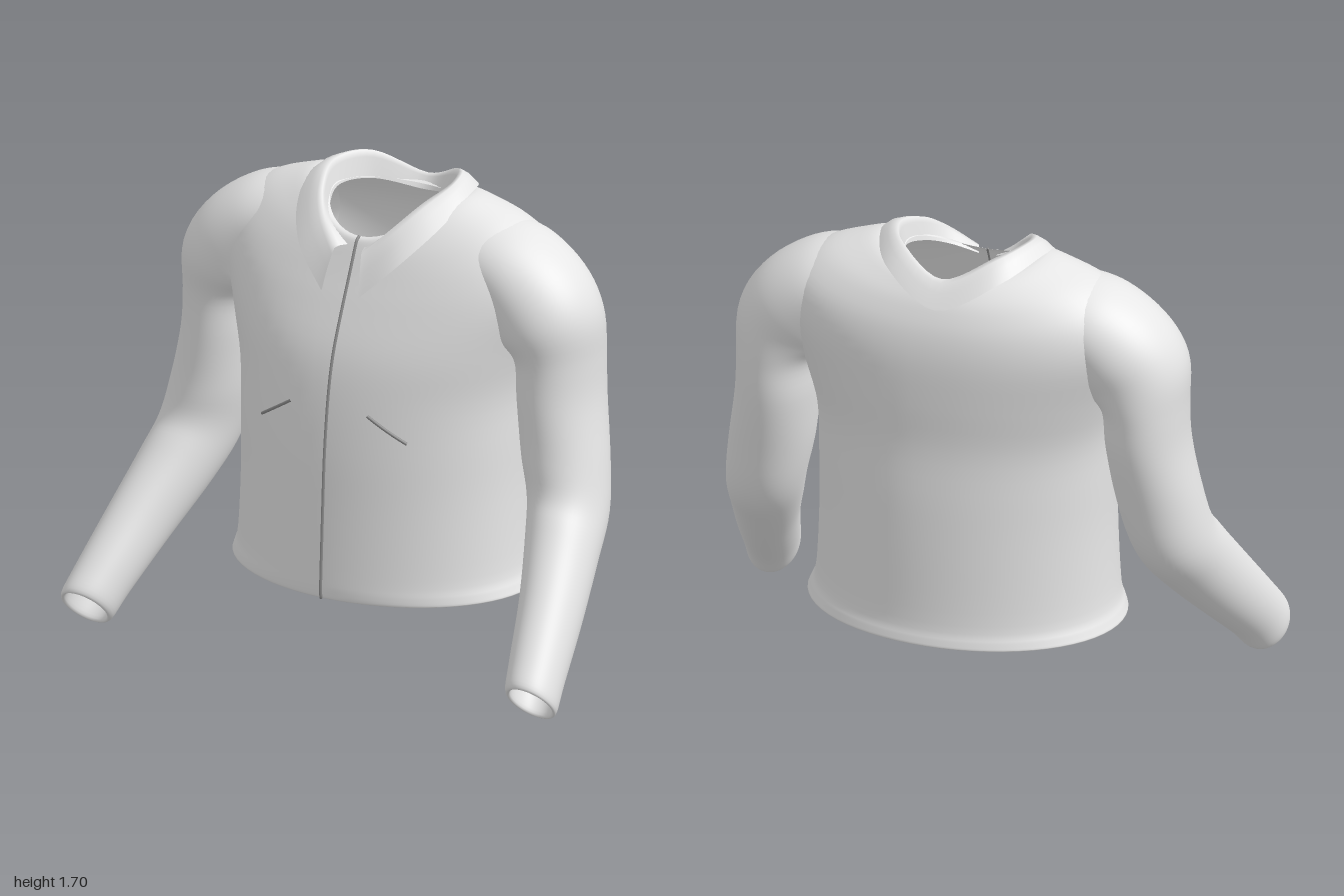
import * as THREE from 'three';

const fabric = new THREE.MeshStandardMaterial({ color: 0xe6e6e6, side: THREE.DoubleSide });
fabric.name = 'light grey fabric';
const dark = new THREE.MeshStandardMaterial({ color: 0x8c8c8c });
dark.name = 'mid grey zip';

// Catmull-Rom subdivision of rows of numbers
function smooth(rows, steps) {
  const out = [];
  const at = i => rows[Math.max(0, Math.min(rows.length - 1, i))];
  for (let i = 0; i < rows.length - 1; i++) {
    for (let k = 0; k < steps; k++) {
      const t = k / steps;
      out.push(rows[i].map((b, j) => {
        const a = at(i - 1)[j], c = at(i + 1)[j], d = at(i + 2)[j];
        return b + 0.5 * t * (c - a + t * (2 * a - 5 * b + 4 * c - d + t * (3 * (b - c) + d - a)));
      }));
    }
  }
  out.push(rows[rows.length - 1]);
  return out;
}

// Skin over a list of equally long point rows
function loft(rows, closed) {
  const n = rows[0].length, index = [];
  for (let i = 0; i < rows.length - 1; i++) {
    for (let j = 0; j < (closed ? n : n - 1); j++) {
      const a = i * n + j, b = i * n + (j + 1) % n;
      index.push(a, a + n, b, b, a + n, b + n);
    }
  }
  const g = new THREE.BufferGeometry();
  g.setAttribute('position', new THREE.Float32BufferAttribute(rows.flat(2), 3));
  g.setIndex(index);
  g.computeVertexNormals();
  return g;
}

function add(group, name, geometry, material) {
  const m = new THREE.Mesh(geometry, material);
  m.name = name;
  group.add(m);
}

const SEG = 64;
const angles = Array.from({ length: SEG }, (_, i) => i / SEG * Math.PI * 2);

// Torso rings: side y, front y, back y, half width, front z, back z, squareness
const torsoRows = smooth([
  [0.33, 0.33, 0.33, 0.525, 0.335, -0.48, 2],
  [0.275, 0.275, 0.28, 0.548, 0.343, -0.5, 2],
  [0.268, 0.265, 0.275, 0.572, 0.358, -0.518, 2],
  [0.295, 0.295, 0.3, 0.562, 0.362, -0.514, 2],
  [0.36, 0.36, 0.36, 0.543, 0.36, -0.502, 2],
  [0.6, 0.6, 0.6, 0.53, 0.348, -0.49, 2.05],
  [0.8, 0.8, 0.8, 0.53, 0.336, -0.478, 2.1],
  [1.0, 1.0, 1.0, 0.535, 0.312, -0.462, 2.2],
  [1.18, 1.15, 1.17, 0.575, 0.278, -0.466, 2.3],
  [1.38, 1.3, 1.33, 0.635, 0.218, -0.466, 2.3],
  [1.505, 1.39, 1.44, 0.615, 0.178, -0.45, 2.25],
  [1.59, 1.45, 1.52, 0.52, 0.152, -0.42, 2.15],
  [1.64, 1.49, 1.57, 0.4, 0.135, -0.39, 2.05],
  [1.665, 1.52, 1.6, 0.29, 0.12, -0.36, 2],
  [1.62, 1.53, 1.59, 0.215, 0.105, -0.315, 2],
], 4);

const spow = (v, e) => Math.sign(v) * Math.abs(v) ** e;
function torsoPoint([ys, yf, yb, w, zf, zb, p], a) {
  const c = Math.cos(a), s = Math.sin(a), mid = (zf + zb) / 2, half = (zf - zb) / 2;
  return [w * spow(c, 2 / p), ys + ((s > 0 ? yf : yb) - ys) * s * s, mid + half * spow(s, 2 / p)];
}

// Sleeve rings: centre x, y, z, half width, half depth, forward tilt, sideways roll
const sleeveRows = smooth([
  [0.33, 1.48, -0.13, 0.13, 0.17, 0, 1.4],
  [0.42, 1.46, -0.13, 0.153, 0.195, 0, 1.3],
  [0.505, 1.425, -0.13, 0.168, 0.21, 0, 1.1],
  [0.59, 1.345, -0.125, 0.187, 0.215, 0, 0.76],
  [0.642, 1.26, -0.12, 0.187, 0.207, 0, 0.37],
  [0.675, 1.15, -0.13, 0.15, 0.192, 0, 0.05],
  [0.685, 1.0, -0.125, 0.146, 0.188, 0, 0],
  [0.715, 0.8, -0.1, 0.15, 0.172, 0.08, 0],
  [0.75, 0.635, -0.06, 0.143, 0.163, 0.4, 0],
  [0.785, 0.51, 0.04, 0.133, 0.148, 0.72, 0],
  [0.84, 0.335, 0.205, 0.115, 0.132, 0.8, 0],
  [0.885, 0.17, 0.37, 0.102, 0.116, 0.8, 0],
  [0.905, 0.09, 0.443, 0.095, 0.112, 0.82, 0],
  [0.907, 0.085, 0.447, 0.077, 0.094, 0.82, 0],
  [0.895, 0.14, 0.4, 0.076, 0.09, 0.82, 0],
], 5);

const sleevePoint = (side, [x, y, z, w, d, t, r], a) => [
  side * (x + w * Math.cos(a) * Math.cos(r)),
  y + w * Math.cos(a) * Math.sin(r) + d * Math.sin(a) * Math.sin(t),
  z + d * Math.sin(a) * Math.cos(t),
];

// Collar edges, from the front tip round to the middle of the back
const collarHalf = [
  [[0.03, 1.5, 0.12], [0.12, 1.54, 0.08], [0.185, 1.58, 0], [0.215, 1.61, -0.12], [0.155, 1.6, -0.25], [0, 1.57, -0.315]],
  [[0.055, 1.5, 0.185], [0.14, 1.59, 0.115], [0.2, 1.66, 0.02], [0.235, 1.7, -0.12], [0.17, 1.695, -0.27], [0, 1.62, -0.35]],
  [[0.075, 1.355, 0.238], [0.205, 1.485, 0.175], [0.29, 1.595, 0.04], [0.305, 1.665, -0.12], [0.215, 1.63, -0.33], [0, 1.53, -0.42]],
];

function collarGeometry() {
  const edges = collarHalf.map(h => {
    const other = h.slice(0, -1).reverse().map(([x, y, z]) => [-x, y, z]);
    return smooth([...h, ...other], 6);
  });
  const [base, fold, outer] = edges;
  // Rounded roll along the fold
  const mix = (a, b, t, lift) => a.map((p, i) => p.map((v, j) => v + (b[i][j] - v) * t + (j === 1 ? lift : 0)));
  return loft([base, mix(base, fold, 0.7, 0.005), fold, mix(fold, outer, 0.2, 0.008), mix(fold, outer, 0.55, 0.012), outer], false);
}

// Depth of the jacket front at a given x and y
function frontZ(x, y) {
  const k = torsoRows.findIndex((r, i) => i > 16 && r[1] >= y);
  const low = torsoRows[k - 1], high = torsoRows[k], t = (y - low[1]) / (high[1] - low[1]);
  const [, , , w, f, b, p] = low.map((v, i) => v + (high[i] - v) * t);
  return (f + b) / 2 + (f - b) / 2 * (1 - (x / w) ** p) ** (1 / p);
}

const cord = (points, radius) => new THREE.TubeGeometry(
  new THREE.CatmullRomCurve3(points), points.length * 2, radius, 6, false);

export function createModel() {
  const jacket = new THREE.Group();
  jacket.name = 'jacket';

  add(jacket, 'torso', loft(torsoRows.map(r => angles.map(a => torsoPoint(r, a))), true), fabric);
  add(jacket, 'collar', collarGeometry(), fabric);

  // Zip down the middle of the front
  const zip = torsoRows.slice(8).map(r => new THREE.Vector3(0, r[1], r[4] + 0.004));
  add(jacket, 'zip', cord(zip, 0.006), dark);

  for (const side of [1, -1]) {
    const label = side > 0 ? 'left' : 'right';
    add(jacket, label + 'Sleeve', loft(sleeveRows.map(r => angles.map(a => sleevePoint(side, r, a))), true), fabric);

    // Slanted pocket slit
    const slit = [0, 0.25, 0.5, 0.75, 1].map(t => {
      const x = 0.155 + 0.14 * t, y = 0.955 - 0.088 * t;
      return new THREE.Vector3(side * x, y, frontZ(x, y) + 0.003);
    });
    add(jacket, label + 'PocketSlit', cord(slit, 0.006), dark);
  }
  return jacket;
}
